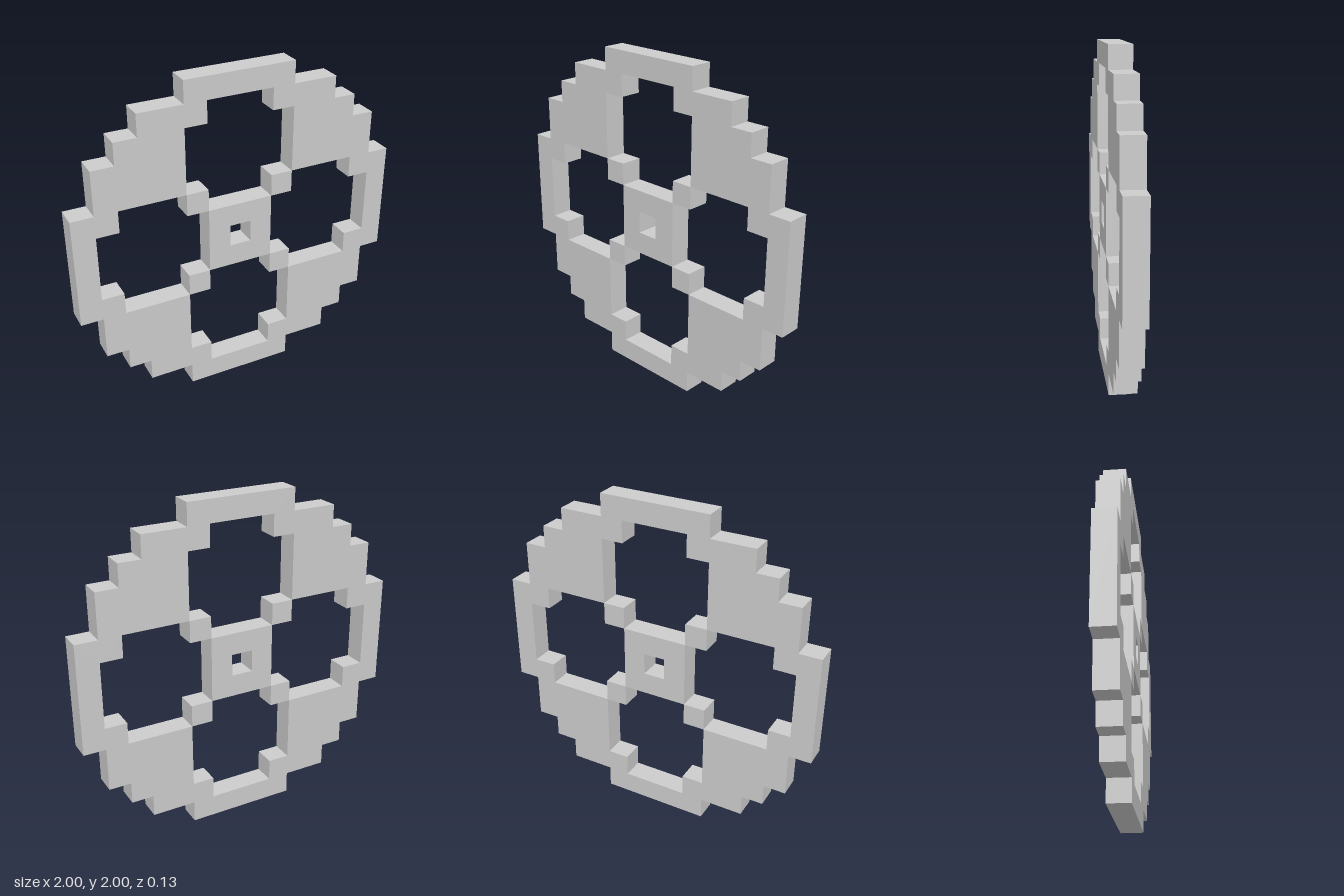
import * as THREE from 'three';

const U = 2 / 15; // one grid cell
const material = new THREE.MeshStandardMaterial({ color: 0xcccccc, flatShading: true });

// Repeat one quadrant of corners around the centre, counter-clockwise
function fourfold(quadrant) {
  const points = [];
  for (let turn = 0; turn < 4; turn++) {
    const centre = new THREE.Vector2();
    for (const [x, y] of quadrant) {
      points.push(new THREE.Vector2(x * U, y * U).rotateAround(centre, turn * Math.PI / 2));
    }
  }
  return points;
}

// One-cell-thick plate with a hole, centred on z = 0
function plate(name, outer, inner) {
  const shape = new THREE.Shape(fourfold(outer));
  shape.holes.push(new THREE.Path(fourfold(inner)));
  const geometry = new THREE.ExtrudeGeometry(shape, { depth: U, bevelEnabled: false });
  geometry.translate(0, 0, -U / 2);
  const mesh = new THREE.Mesh(geometry, material);
  mesh.name = name;
  return mesh;
}

export function createModel() {
  const wheel = new THREE.Group();
  wheel.name = 'steppedWheel';

  // Stepped rim with its four solid corner webs
  wheel.add(plate('rim',
    [[7.5, 2.5], [6.5, 2.5], [6.5, 4.5], [5.5, 4.5], [5.5, 5.5], [4.5, 5.5], [4.5, 6.5], [2.5, 6.5], [2.5, 7.5]],
    [[6.5, 1.5], [5.5, 1.5], [5.5, 2.5], [2.5, 2.5], [2.5, 5.5], [1.5, 5.5], [1.5, 6.5]]));

  // Square hub with the axle hole
  wheel.add(plate('hub', [[1.5, 1.5]], [[0.5, 0.5]]));

  // Cubes joining the hub to the webs corner to corner
  const cube = new THREE.BoxGeometry(U, U, U);
  for (const sx of [-1, 1]) {
    for (const sy of [-1, 1]) {
      const spoke = new THREE.Mesh(cube, material);
      spoke.name = (sy > 0 ? 'upper' : 'lower') + (sx > 0 ? 'Left' : 'Right') + 'Spoke';
      spoke.position.set(sx * 2 * U, sy * 2 * U, 0);
      wheel.add(spoke);
    }
  }

  wheel.position.y = 1;
  const model = new THREE.Group();
  model.add(wheel);
  return model;
}
